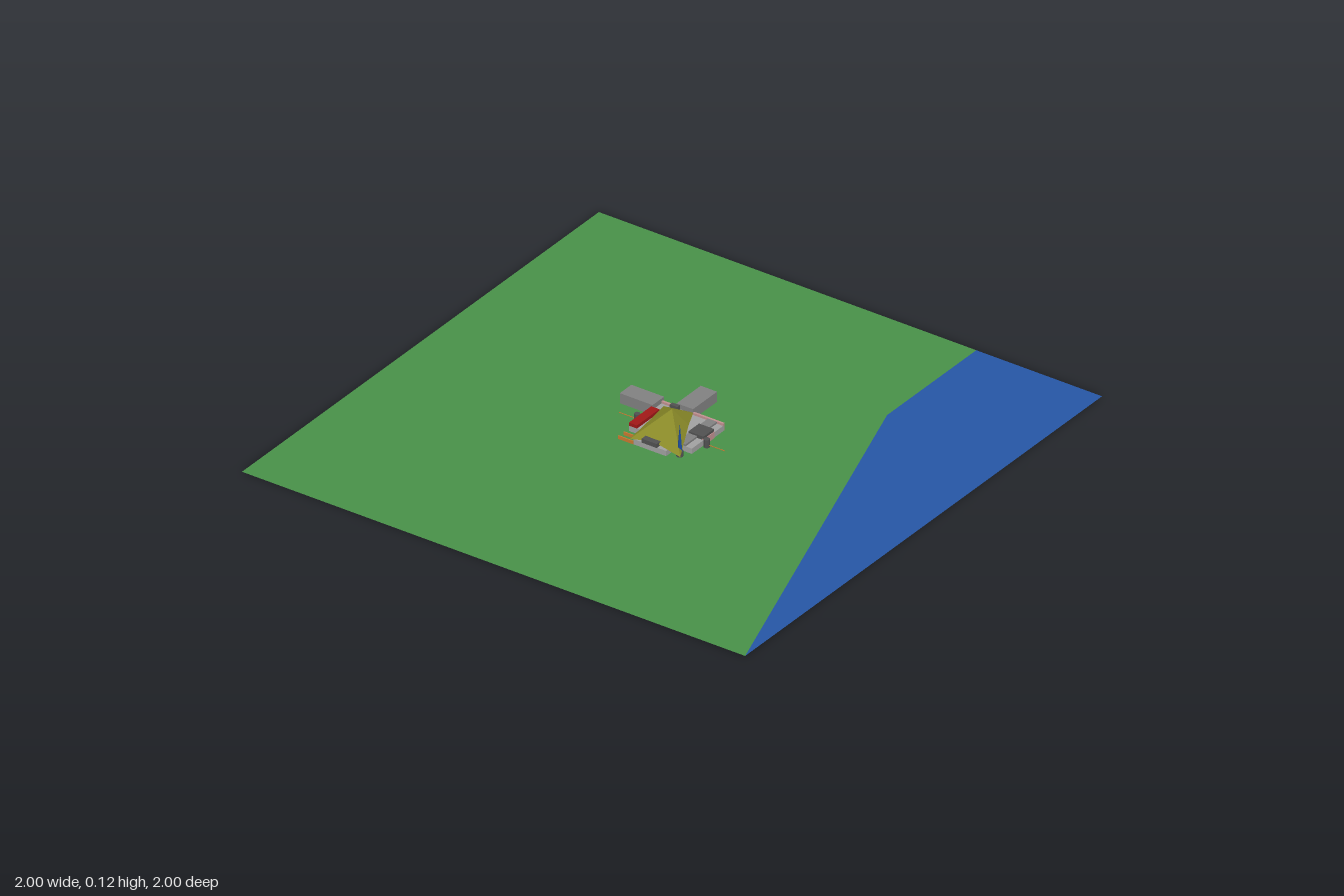
import * as THREE from 'three';

const mat = (color, flat = true) =>
  new THREE.MeshStandardMaterial({ color, flatShading: flat, side: THREE.DoubleSide });

export function createModel() {
  const model = new THREE.Group();
  const land = mat(0x489048), water = mat(0x2656a4), stone = mat(0xa0a0a0);
  const grey = mat(0x808080), dark = mat(0x505050), red = mat(0xa01818);
  const pink = mat(0xc09090), olive = mat(0x8a8a28), orange = mat(0xc87830), blue = mat(0x1c4a98);

  const add = (name, geometry, material) => {
    const mesh = new THREE.Mesh(geometry, material);
    mesh.name = name;
    model.add(mesh);
    return mesh;
  };
  // Box given by its lower and upper limits
  const box = (name, x0, x1, y0, y1, z0, z1, material) =>
    add(name, new THREE.BoxGeometry(x1 - x0, y1 - y0, z1 - z0), material)
      .position.set((x0 + x1) / 2, (y0 + y1) / 2, (z0 + z1) / 2);
  // Flat ground outline, given as x, z pairs
  const flat = (name, points, material) => {
    const shape = new THREE.Shape(points.map(([x, z]) => new THREE.Vector2(x, -z)));
    add(name, new THREE.ShapeGeometry(shape).rotateX(-Math.PI / 2), material);
  };

  // Land and the water along its shore
  flat('land', [[-1, 1], [0.5, 0.5], [1, 0.5], [1, -1], [-1, -1]], land);
  flat('water', [[-1, 1], [1, 1], [1, 0.5], [0.5, 0.5]], water);

  // Building floors and low walls
  box('mainFloor', -0.065, 0.115, 0, 0.02, -0.125, 0.125, stone);
  box('sideFloor', -0.125, -0.065, 0, 0.02, -0.065, 0.065, stone);
  box('frontStep', -0.065, 0.115, 0.02, 0.027, 0.065, 0.1, grey);
  box('eastWallFront', 0.11, 0.118, 0, 0.028, 0.005, 0.125, pink);
  box('eastWallBack', 0.11, 0.118, 0, 0.028, -0.12, -0.065, pink);
  box('frontPanel', 0, 0.06, 0, 0.024, 0.12, 0.127, pink);

  // Wings running out from the building
  box('backWing', 0.06, 0.125, 0, 0.038, -0.25, -0.12, grey);
  box('eastWing', 0.115, 0.25, 0, 0.038, -0.063, 0.002, grey);

  // Raised blocks and the red bar at the back
  box('westBlock', -0.128, -0.08, 0.02, 0.035, -0.03, 0.03, dark);
  box('frontBlock', 0, 0.06, 0.02, 0.033, 0.065, 0.125, dark);
  box('backBar', -0.065, 0.06, 0.02, 0.032, -0.125, -0.093, red);

  // Tent roof fanned out from its peak, with valleys between the corners
  const rim = [
    [-0.13, 0.02, 0.125], [0.03, 0.035, 0.045], [0.12, 0.022, 0],
    [0.095, 0.024, -0.1], [-0.03, 0.035, -0.075], [-0.13, 0.02, -0.075], [-0.115, 0.03, 0.01],
  ];
  const tent = [];
  rim.forEach((corner, i) => tent.push(0, 0.095, 0, ...corner, ...rim[(i + 1) % rim.length]));
  const roof = new THREE.BufferGeometry();
  roof.setAttribute('position', new THREE.Float32BufferAttribute(tent, 3));
  roof.computeVertexNormals();
  add('tentRoof', roof, olive);

  // Tapered spire at the front corner
  add('spireFoot', new THREE.CylinderGeometry(0.012, 0.012, 0.02, 8), dark).position.set(-0.097, 0.01, 0.1);
  add('spire', new THREE.ConeGeometry(0.01, 0.1, 4), blue).position.set(-0.097, 0.07, 0.1);

  // Posts and thin rods before and behind the building
  for (const s of [-1, 1]) {
    add('gatePost', new THREE.CylinderGeometry(0.011, 0.011, 0.03, 8), dark).position.set(0, 0.015, s * 0.138);
    box('gateRod', -0.001, 0.001, 0.008, 0.01, s * 0.175 - 0.035, s * 0.175 + 0.035, orange);
  }
  // Orange poles beside the back corner
  for (const x of [-0.124, -0.094]) box('cornerPole', x - 0.002, x + 0.002, 0, 0.012, -0.125, -0.065, orange);
  // Small post on the floor near the east wing
  box('doorPost', 0.1, 0.115, 0.02, 0.035, -0.08, -0.05, dark);

  return model;
}
